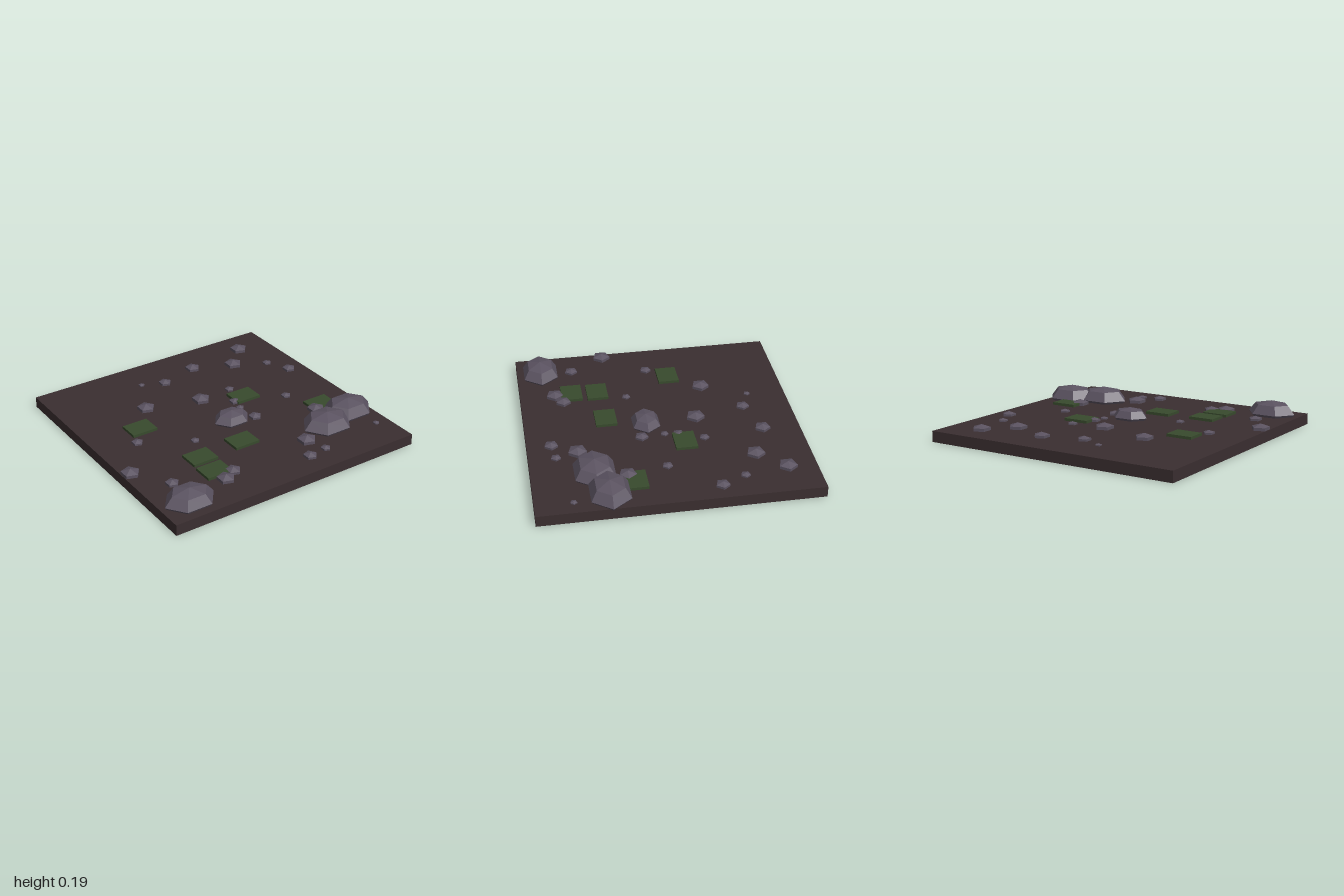
import * as THREE from 'three';

const TOP = 0.08; // height of the ground surface

export function createModel() {
  const group = new THREE.Group();
  const flat = (name, color) => {
    const m = new THREE.MeshStandardMaterial({ color, flatShading: true });
    m.name = name;
    return m;
  };
  const soil = flat('dark soil', 0x3a2e30);
  const stone = flat('grey stone', 0x5a5260);
  const moss = flat('moss green', 0x384a2d);

  const add = (name, geometry, material, x, y, z) => {
    const mesh = new THREE.Mesh(geometry, material);
    mesh.name = name;
    mesh.position.set(x, y, z);
    group.add(mesh);
    return mesh;
  };

  // Square ground slab
  add('ground', new THREE.BoxGeometry(1.967, TOP, 1.967), soil, -0.015, TOP / 2, 0);

  // Moss patches: x, z
  const patch = new THREE.BoxGeometry(0.195, 0.04, 0.155);
  [[-0.59, -0.15], [0.29, -0.13], [0.695, 0.28], [-0.445, 0.41], [-0.085, 0.39], [-0.455, 0.6]]
    .forEach(([x, z]) => add('mossPatch', patch, moss, x, TOP, z));

  // Six-sided boulders, sunk into the ground: x, z, half width, half depth
  const boulder = new THREE.SphereGeometry(1, 6, 4);
  [
    [-0.785, 0.805, 0.187, 0.146],
    [0.02, 0.11, 0.142, 0.112],
    [0.547, 0.545, 0.197, 0.162],
    [0.797, 0.47, 0.198, 0.157],
  ].forEach(([x, z, rx, rz]) =>
    add('boulder', boulder, stone, x, 0.097, z).scale.set(rx, rx * 0.49, rz));

  // Five-sided pebbles with upright sides and a low peak: x, z, radius
  const pebble = new THREE.SphereGeometry(1, 5, 3).rotateY(Math.PI);
  [
    [-0.25, -0.7, 0.028], [-0.085, -0.63, 0.056], [0.215, -0.71, 0.066],
    [0.695, -0.775, 0.077], [0.515, -0.59, 0.077], [0.75, -0.465, 0.04],
    [0.835, -0.29, 0.058], [0.265, -0.275, 0.041], [0, -0.26, 0.079],
    [-0.405, -0.375, 0.076], [0.195, -0.1, 0.05], [0.175, -0.003, 0.034],
    [0.19, 0.165, 0.056], [0.56, 0.04, 0.043], [-0.7, 0, 0.049],
    [-0.35, 0.2, 0.037], [-0.94, 0.315, 0.077], [-0.77, 0.57, 0.056],
    [0.62, 0.325, 0.074], [0.3, 0.635, 0.08], [0.195, 0.81, 0.058],
    [0.345, 0.79, 0.042], [0.86, 0.72, 0.028], [-0.35, 0.67, 0.065],
    [-0.445, 0.725, 0.074],
  ].forEach(([x, z, r]) =>
    add('pebble', pebble, stone, x, TOP, z).scale.set(r, r * 0.57, r));

  return group;
}
